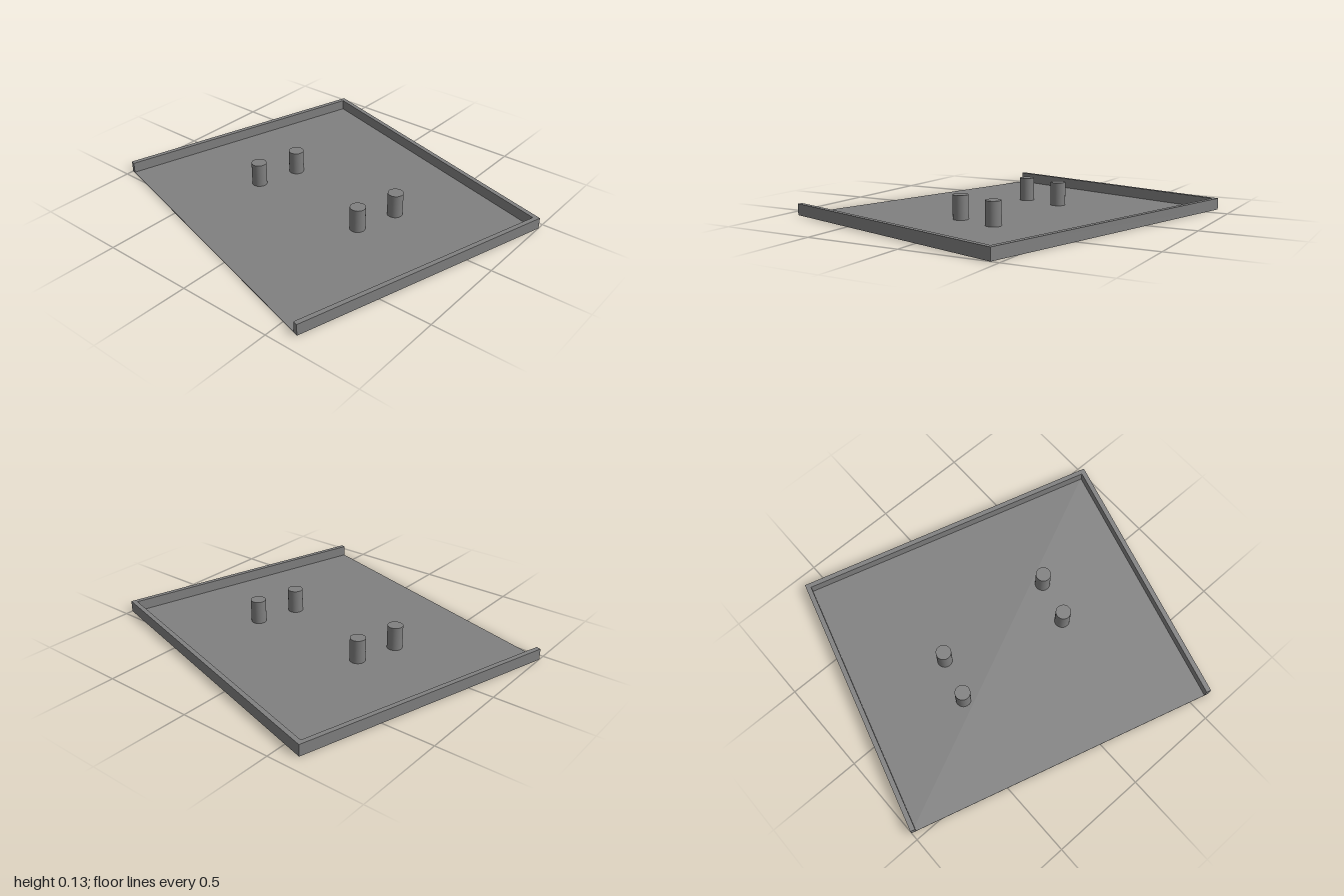
import * as THREE from 'three';

const W = 1.671, D = 1.432, WALL = 0.025, WALL_H = 0.06, FLOOR_H = 0.004;
const PIN_R = 0.04, PIN_H = 0.129;

export function createModel() {
  const model = new THREE.Group();
  model.name = 'tray';
  const material = new THREE.MeshStandardMaterial({ color: 0x808080 });

  const add = (name, geometry, x, y, z) => {
    const mesh = new THREE.Mesh(geometry, material);
    mesh.name = name;
    mesh.position.set(x, y, z);
    model.add(mesh);
  };

  // Thin floor plate
  add('floor', new THREE.BoxGeometry(W, FLOOR_H, D), 0, FLOOR_H / 2, 0);

  // U-shaped rim along the left, back and right edges, open at the front
  const w = W / 2, d = D / 2, iw = w - WALL, id = d - WALL;
  const outline = [[-w, -d], [-iw, -d], [-iw, id], [iw, id], [iw, -d], [w, -d], [w, d], [-w, d]];
  const rim = new THREE.ExtrudeGeometry(
    new THREE.Shape(outline.map(([x, y]) => new THREE.Vector2(x, y))),
    { depth: WALL_H - FLOOR_H, bevelEnabled: false }
  );
  rim.rotateX(-Math.PI / 2);
  add('rim', rim, 0, FLOOR_H, 0);

  // Four upright pins, the two pairs staggered about the centre
  const pin = new THREE.CylinderGeometry(PIN_R, PIN_R, PIN_H, 32);
  for (const side of [-1, 1]) {
    for (const z of [0.031, -0.205]) {
      add('pin', pin, 0.002 + side * 0.327, PIN_H / 2, side * z);
    }
  }

  // The whole tray is turned about the vertical
  model.rotation.y = -THREE.MathUtils.degToRad(16);
  const root = new THREE.Group();
  root.add(model);
  return root;
}
